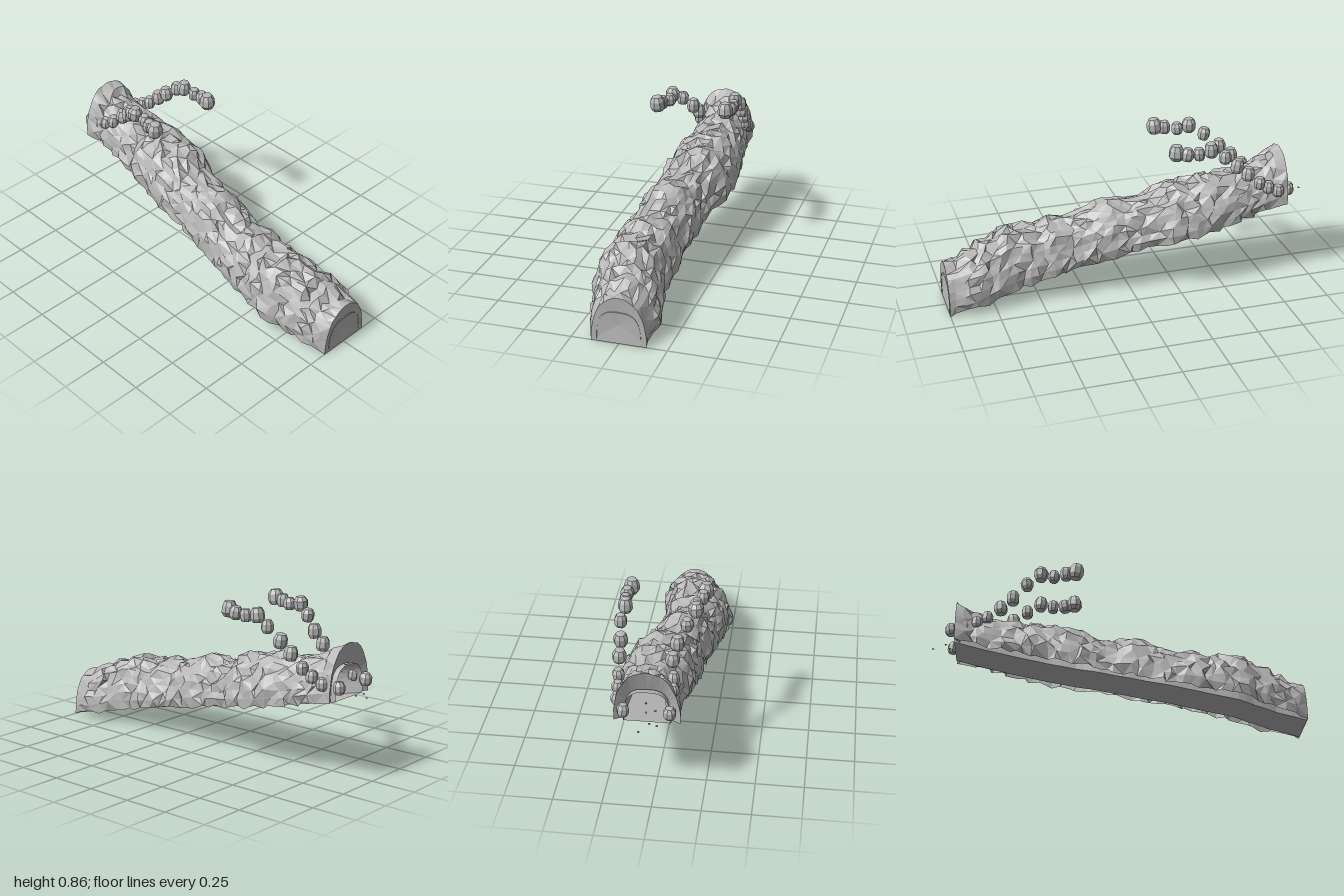
import * as THREE from 'three';

const stone = new THREE.MeshStandardMaterial({ color: 0xb8b8b8, flatShading: true, side: THREE.DoubleSide });
stone.name = 'grey stone';

// Stations along the tunnel: z, centre x, half width, height
const stations = [
  [1, 0, 0.145, 0.25], [0.93, -0.01, 0.175, 0.24], [0.85, -0.01, 0.19, 0.265], [0.75, -0.035, 0.185, 0.275],
  [0.63, -0.065, 0.19, 0.285], [0.45, -0.055, 0.182, 0.255], [0.3, -0.05, 0.172, 0.245], [0.1, -0.025, 0.165, 0.265],
  [-0.08, -0.005, 0.162, 0.225], [-0.25, 0.025, 0.198, 0.265], [-0.4, 0.04, 0.2, 0.26], [-0.55, 0.045, 0.18, 0.24],
  [-0.7, 0.045, 0.163, 0.23], [-0.8, 0.04, 0.156, 0.25], [-0.87, 0.035, 0.168, 0.285],
];

const floorY = (z) => 0.425 * (1 - z) / 1.87;

function station(z) {
  let i = 0;
  while (i < stations.length - 2 && z < stations[i + 1][0]) i++;
  const a = stations[i], b = stations[i + 1];
  const t = THREE.MathUtils.smoothstep((a[0] - z) / (a[0] - b[0]), 0, 1);
  return { cx: a[1] + (b[1] - a[1]) * t, hw: a[2] + (b[2] - a[2]) * t, h: a[3] + (b[3] - a[3]) * t };
}

function seeded(seed) {
  return () => {
    seed = (seed * 1664525 + 1013904223) % 4294967296;
    return seed / 4294967296;
  };
}

// Point on an arch; angle 0 is the +x foot, PI the -x foot; a low power squares the arch
function arch(z, hw, h, angle, power) {
  const c = Math.cos(angle), s = Math.max(0, Math.sin(angle));
  return new THREE.Vector3(
    station(z).cx + hw * Math.sign(c) * Math.abs(c) ** power, floorY(z) + h * s ** power, z);
}

// Flat-faced skin joining successive rows of points
function skin(rows) {
  const pts = [];
  for (let i = 0; i < rows.length - 1; i++) {
    for (let j = 0; j < rows[i].length - 1; j++) {
      const a = rows[i][j], b = rows[i][j + 1], c = rows[i + 1][j], d = rows[i + 1][j + 1];
      if ((i + j) % 2) pts.push(a, c, b, b, c, d);
      else pts.push(a, c, d, a, d, b);
    }
  }
  const geometry = new THREE.BufferGeometry().setFromPoints(pts);
  geometry.computeVertexNormals();
  return geometry;
}

function add(group, name, geometry) {
  const mesh = new THREE.Mesh(geometry, stone);
  mesh.name = name;
  group.add(mesh);
  return mesh;
}

export function createModel() {
  const group = new THREE.Group();
  group.name = 'rockTunnel';
  const rand = seeded(17);
  const RINGS = 46, SEGS = 18;
  const outer = [], inner = [], floor = [];

  for (let i = 0; i <= RINGS; i++) {
    const z = 1 - 1.87 * i / RINGS;
    const end = i === 0 || i === RINGS;
    const { cx, hw, h } = station(z);
    const swell = 0.955 + rand() * 0.08;
    const out = [], inn = [];
    for (let j = 0; j <= SEGS; j++) {
      const angle = Math.PI * j / SEGS;
      const foot = j === 0 || j === SEGS;
      const rough = end ? 0.98 + rand() * 0.03 : swell * (0.94 + rand() * 0.12) * (foot ? 0.95 : 1);
      const p = arch(z, hw * rough, h * rough, angle, 0.9);
      if (!end) {
        p.z += (rand() - 0.5) * 0.04;
        if (foot) p.y += rand() * 0.02 - 0.005;
      }
      out.push(p);
      inn.push(arch(z, 0.115, 0.17, angle, 0.65));
    }
    outer.push(out);
    inner.push(inn);

    // Floor strip; the gap between it and the rough shell stays open below
    const y = floorY(z);
    floor.push([new THREE.Vector3(cx - 0.12, y, z), new THREE.Vector3(cx + 0.12, y, z)]);
  }

  add(group, 'rockShell', skin(outer));
  add(group, 'innerVault', skin(inner));
  add(group, 'floor', skin(floor));

  // Rim of the open mouth at the back, fan wall closing the front
  add(group, 'mouthRim', skin([outer[RINGS], inner[RINGS].map((p) => p.clone().setZ(-0.84))]));
  const hub = new THREE.Vector3(0, 0.1, 0.99);
  const outline = [...outer[0], outer[0][0]];
  add(group, 'frontWall', skin([outline.map(() => hub), outline]));

  // Two floating chains of boulders: z, y, right-hand x, left-hand x, size
  const chain = [
    [-0.225, 0.815, -0.185, 0.2, 0.041], [-0.28, 0.805, -0.175, 0.215, 0.034], [-0.345, 0.8, -0.15, 0.215, 0.032],
    [-0.415, 0.81, -0.155, 0.205, 0.038], [-0.49, 0.765, -0.118, 0.218, 0.034], [-0.565, 0.7, -0.078, 0.207, 0.037],
    [-0.63, 0.645, -0.063, 0.205, 0.036], [-0.7, 0.58, -0.075, 0.2, 0.032], [-0.755, 0.545, -0.08, 0.195, 0.031],
    [-0.815, 0.515, -0.08, 0.19, 0.031], [-0.89, 0.5, -0.08, 0.15, 0.032],
  ];
  const boulders = new THREE.Group();
  boulders.name = 'boulderChains';
  group.add(boulders);
  for (const [z, y, xa, xb, size] of chain) {
    for (const x of [xa, xb]) {
      const profile = [[0, -1.05], [0.72, -1], [1, -0.45], [0.97, 0.4], [0.65, 0.98], [0, 1.08]]
        .map(([r, v]) => new THREE.Vector2(r * size * (r ? 0.94 + rand() * 0.12 : 1), v * size));
      const rock = add(boulders, 'boulder', new THREE.LatheGeometry(profile, 8));
      rock.position.set(x, y, z);
      rock.rotation.set((rand() - 0.5) * 0.2, rand() * 6, (rand() - 0.5) * 0.2);
    }
  }

  // Flat chips of stone by the mouth and along the floor
  const chips = [[0.06, 0.45, -0.993], [-0.02, 0.44, -0.92], [0.02, 0.435, -0.9],
    [0.05, 0.43, -0.8], [0.01, 0.41, -0.75], [0.07, 0.39, -0.66]];
  for (const [x, y, z] of chips) {
    const chip = add(group, 'stoneChip', new THREE.CylinderGeometry(0.005, 0.007, 0.004, 6));
    chip.position.set(x, y, z);
  }
  return group;
}
